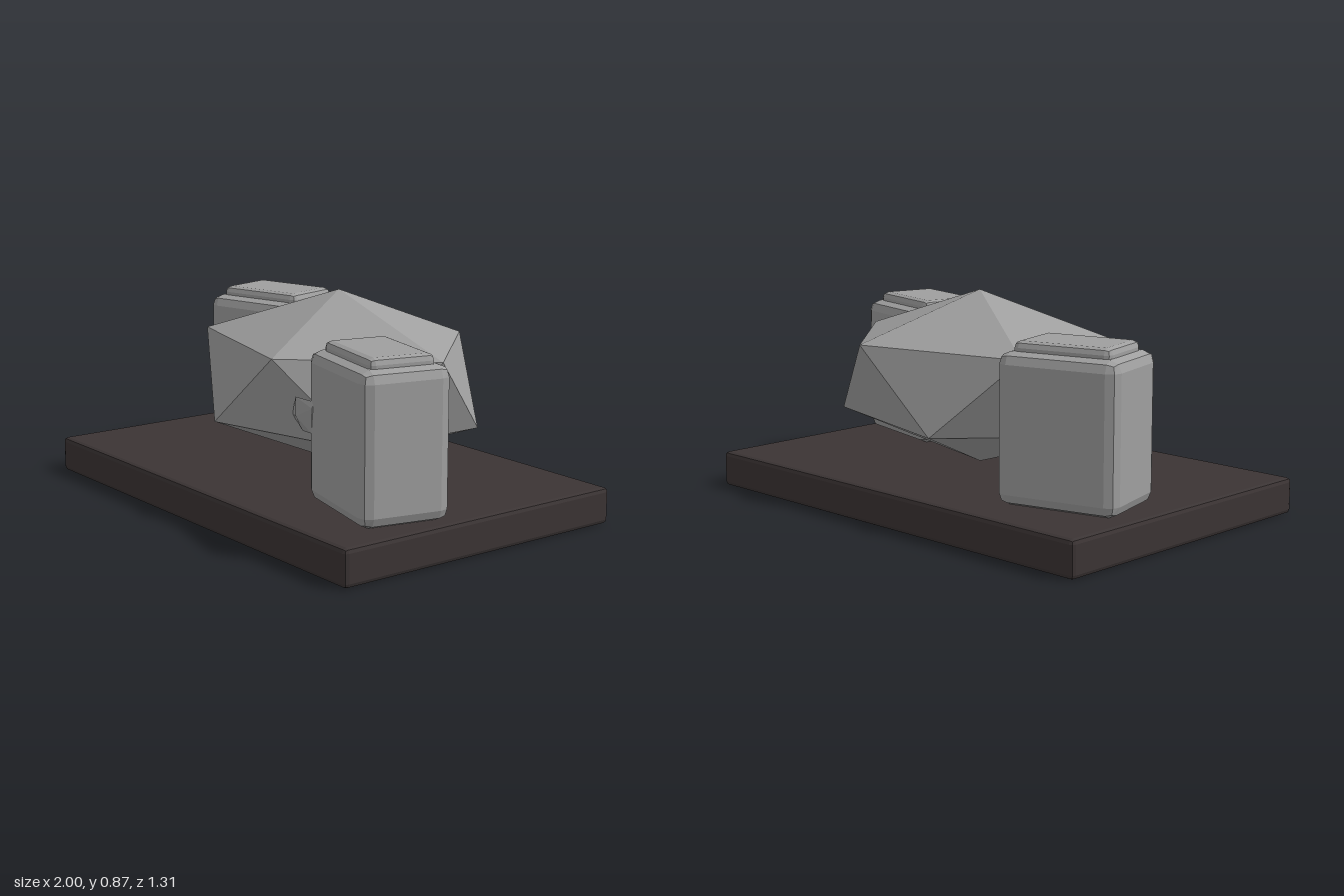
import * as THREE from 'three';
import { ConvexGeometry } from 'three/addons/geometries/ConvexGeometry.js';
import { RoundedBoxGeometry } from 'three/addons/geometries/RoundedBoxGeometry.js';

const stone = new THREE.MeshStandardMaterial({ color: 0x9f9f9f });
stone.name = 'grey stone';
const dark = new THREE.MeshStandardMaterial({ color: 0x3b3434 });
dark.name = 'dark base';

// Box with single-step chamfers and flat faces, standing on y
function chamferBox(name, w, h, d, r, y, material) {
  const geo = new RoundedBoxGeometry(w, h, d, 1, r);
  geo.computeVertexNormals();
  const mesh = new THREE.Mesh(geo, material);
  mesh.name = name;
  mesh.position.y = y + h / 2;
  return mesh;
}

// Upright block with a smaller cap on top
function block(name, x, z, turn) {
  const g = new THREE.Group();
  g.name = name;
  g.add(
    chamferBox('blockBody', 0.495, 0.58, 0.36, 0.045, 0.147, stone),
    chamferBox('blockCap', 0.4, 0.12, 0.265, 0.025, 0.645, stone)
  );
  g.position.set(x, 0, z);
  g.rotation.y = THREE.MathUtils.degToRad(turn);
  return g;
}

// Stretched twenty-sided boulder with a point at top and bottom
function boulder() {
  const pts = [new THREE.Vector3(0, 1, 0), new THREE.Vector3(0, -1, 0)];
  const ring = 2 / Math.sqrt(5);
  for (let i = 0; i < 10; i++) {
    const a = (i * Math.PI) / 5;
    const y = (i % 2 ? -1 : 1) / Math.sqrt(5);
    pts.push(new THREE.Vector3(ring * Math.cos(a), y, ring * Math.sin(a)));
  }
  const size = new THREE.Vector3(0.715, 0.357, 0.559);
  const mesh = new THREE.Mesh(new ConvexGeometry(pts.map((p) => p.multiply(size))), stone);
  mesh.name = 'boulder';
  mesh.position.set(0.07, 0.512, -0.038);
  return mesh;
}

// Small shard wedged between boulder and front block
function shard() {
  const pts = [
    [0.28, 0.45, 0.35], [0.37, 0.54, 0.4], [0.47, 0.535, 0.385], [0.465, 0.51, 0.395],
    [0.45, 0.41, 0.385], [0.36, 0.4, 0.36], [0.37, 0.465, 0.4], [0.42, 0.47, 0.28]
  ].map((p) => new THREE.Vector3(...p));
  const mesh = new THREE.Mesh(new ConvexGeometry(pts), stone);
  mesh.name = 'shard';
  return mesh;
}

export function createModel() {
  const model = new THREE.Group();
  model.name = 'rockDisplay';
  model.add(
    chamferBox('base', 2, 0.147, 1.306, 0.018, 0, dark),
    boulder(),
    shard(),
    block('frontBlock', 0.687, 0.256, -13),
    block('backBlock', -0.659, -0.259, 15)
  );
  return model;
}
